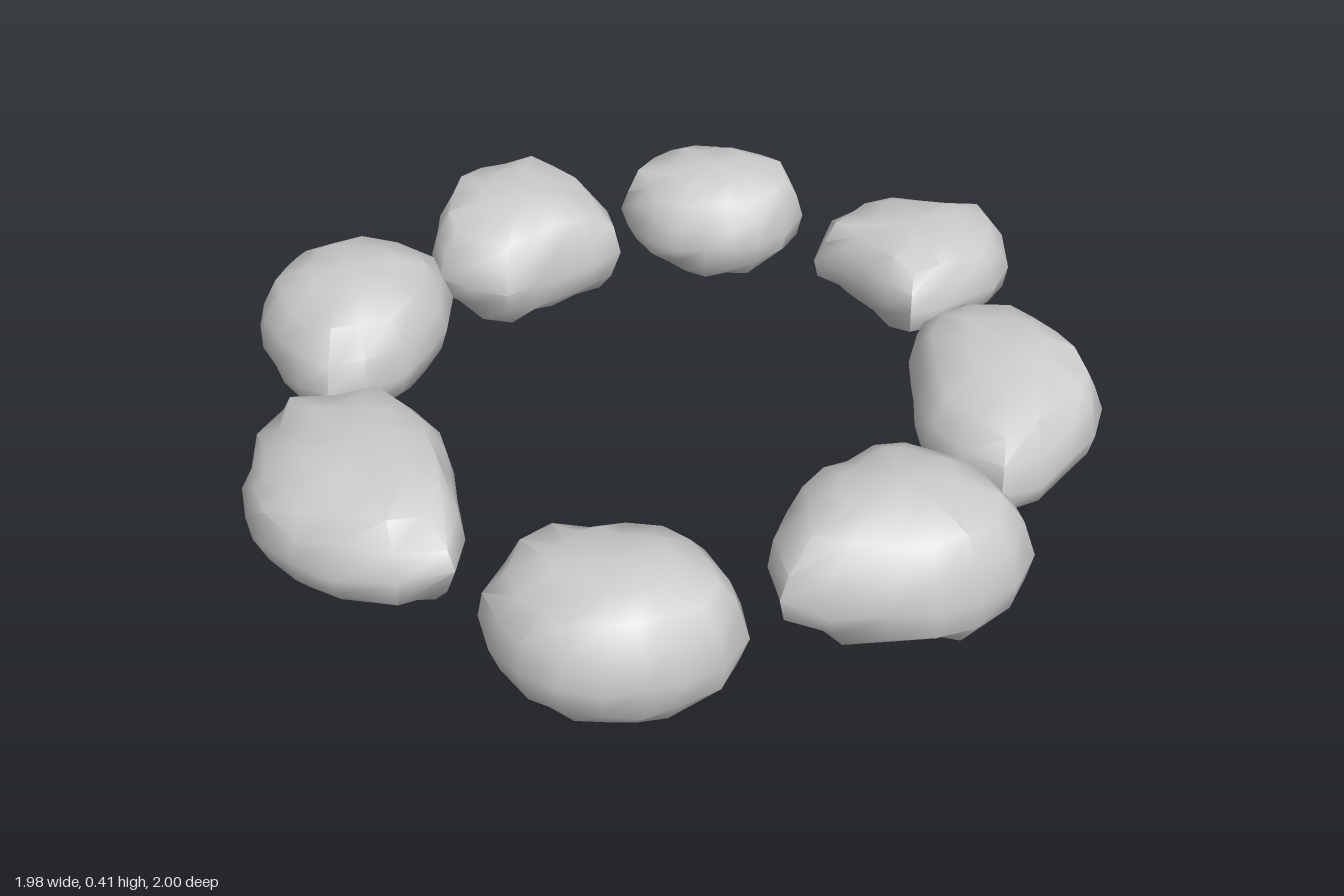
import * as THREE from 'three';
import { toCreasedNormals } from 'three/addons/utils/BufferGeometryUtils.js';

const AROUND = 16;

// Side profile shared by all stones: [height fraction, plan scale]
const PROFILE = [[0.03, 0.38], [0.16, 0.74], [0.32, 0.93], [0.5, 1], [0.7, 0.93], [0.87, 0.76], [0.975, 0.45]];

function seeded(seed) {
  let s = seed;
  return () => (s = (s * 16807) % 2147483647) / 2147483647;
}

// Rounded plan outline through radii set at equal angles, from +x towards +z
function outline(radii) {
  const points = radii.map((r, k) => {
    const angle = (k / radii.length) * Math.PI * 2;
    return new THREE.Vector3(Math.cos(angle) * r, 0, Math.sin(angle) * r);
  });
  const curve = new THREE.CatmullRomCurve3(points, true);
  return Array.from({ length: AROUND }, (_, i) => curve.getPoint(i / AROUND));
}

// Stacks uneven rings of the outline between two closing points
function stoneGeometry(radii, base, top, [leanX, leanZ], seed) {
  const random = seeded(seed);
  const plan = outline(radii);
  const positions = [], index = [];
  for (const [h, scale] of PROFILE) {
    const wobble = h > 0.1 && h < 0.95 ? 0.09 : 0;
    for (const p of plan) {
      const s = scale + (random() - 0.5) * Math.min(0.12, 1 - scale);
      const y = base + (top - base) * (h + (random() - 0.5) * wobble);
      positions.push(p.x * s, y + (p.x * leanX + p.z * leanZ) * s, p.z * s);
    }
  }
  const last = (PROFILE.length - 1) * AROUND;
  const bottom = last + AROUND;
  positions.push(0, base, 0, 0, top, 0);
  for (let i = 0; i < AROUND; i++) {
    const j = (i + 1) % AROUND;
    for (let ring = 0; ring < last; ring += AROUND) {
      const a = ring + i, b = ring + j, c = a + AROUND, d = b + AROUND;
      index.push(b, a, c, b, c, d);
    }
    index.push(bottom, i, j, bottom + 1, last + j, last + i);
  }
  const geometry = new THREE.BufferGeometry();
  geometry.setAttribute('position', new THREE.Float32BufferAttribute(positions, 3));
  geometry.setIndex(index);
  return toCreasedNormals(geometry, 0.85);
}

export function createModel() {
  const group = new THREE.Group();
  group.name = 'stoneRing';
  const material = new THREE.MeshStandardMaterial({ color: 0xcccccc });

  // Centre [x, z], plan radii, base and top height, lean (rise per unit along x, z)
  function addStone(name, [x, z], radii, base, top, lean) {
    const seed = 7919 * (group.children.length + 3);
    const mesh = new THREE.Mesh(stoneGeometry(radii, base, top, lean, seed), material);
    mesh.name = name;
    mesh.position.set(x, 0, z);
    group.add(mesh);
  }

  // Back half of the ring
  addStone('backStone', [0.02, -0.82], [0.23, 0.19, 0.18, 0.2, 0.23, 0.21, 0.18, 0.22], 0.05, 0.33, [0, -0.05]);
  addStone('backLeftStone', [0.54, -0.69], [0.23, 0.21, 0.25, 0.18, 0.25, 0.25, 0.21, 0.25], 0.03, 0.29, [0, 0.05]);
  addStone('backRightStone', [-0.44, -0.65], [0.25, 0.17, 0.23, 0.25, 0.21, 0.22, 0.24, 0.22], 0.02, 0.33, [-0.06, -0.06]);

  // Sides
  addStone('leftStone', [0.77, -0.07], [0.22, 0.23, 0.32, 0.25, 0.21, 0.3, 0.29, 0.2], 0.05, 0.35, [0, -0.09]);
  addStone('rightStone', [-0.77, -0.17], [0.23, 0.23, 0.27, 0.21, 0.22, 0.25, 0.22, 0.27], 0.06, 0.39, [0.04, -0.05]);

  // Front half of the ring
  addStone('frontLeftStone', [0.55, 0.5], [0.29, 0.26, 0.25, 0.33, 0.26, 0.24, 0.27, 0.25], 0.04, 0.41, [0, 0.04]);
  addStone('frontRightStone', [-0.63, 0.44], [0.22, 0.37, 0.29, 0.25, 0.26, 0.32, 0.31, 0.23], 0.05, 0.36, [0.04, 0]);
  addStone('frontStone', [-0.02, 0.78], [0.28, 0.23, 0.22, 0.25, 0.29, 0.27, 0.22, 0.26], 0, 0.36, [0, 0]);
  return group;
}
